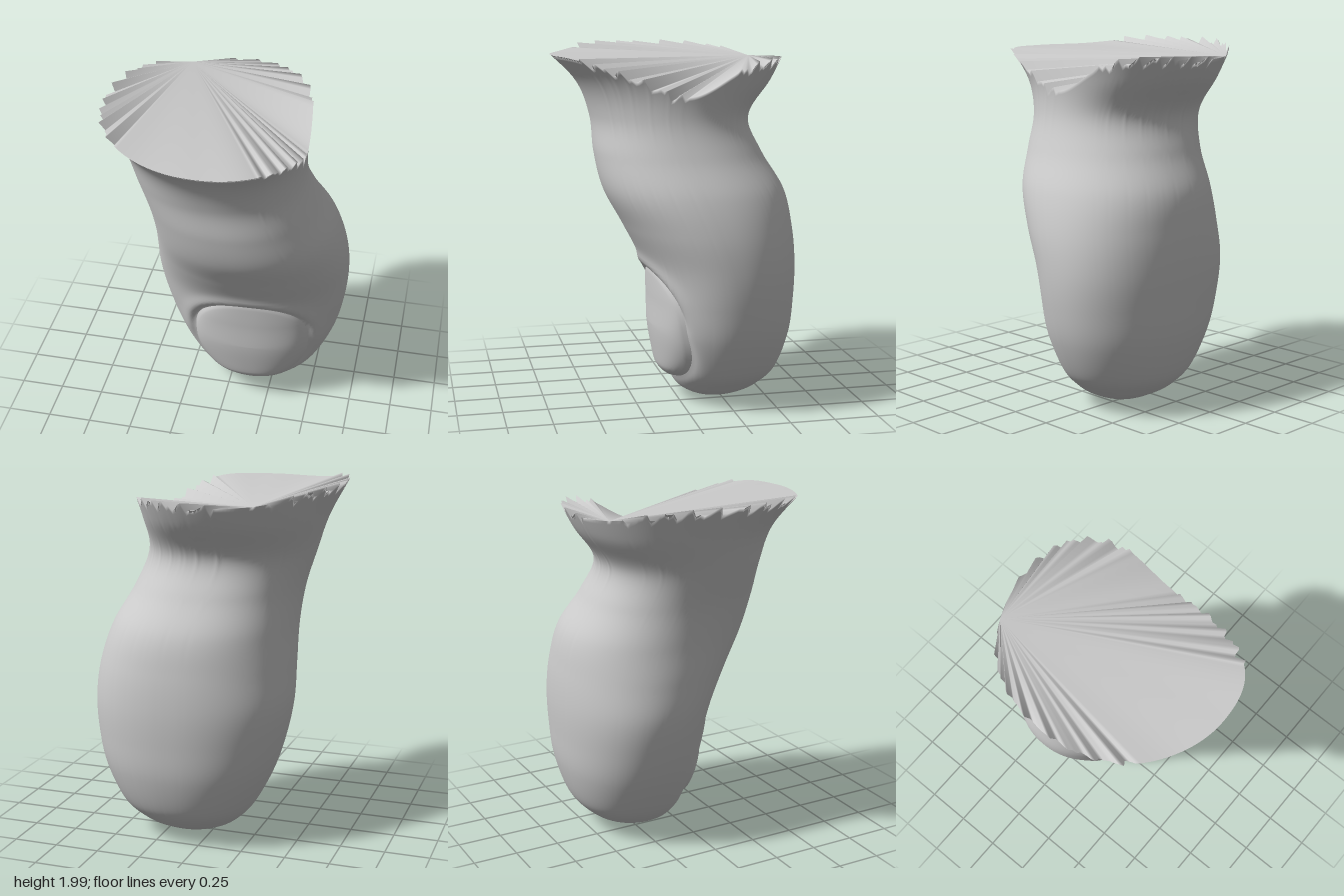
import * as THREE from 'three';

// Cross-sections from tip to rim: y, x min, x max, z back, z front
const KEYS = [
  [0, 0.13, 0.13, -0.22, -0.22], [0.012, 0.03, 0.235, -0.315, -0.125], [0.05, -0.08, 0.34, -0.41, -0.035],
  [0.1, -0.16, 0.42, -0.49, 0.015], [0.2, -0.25, 0.52, -0.575, 0.06], [0.4, -0.355, 0.612, -0.64, 0.11],
  [0.6, -0.42, 0.655, -0.662, 0.143], [0.8, -0.455, 0.67, -0.67, 0.19], [1.0, -0.447, 0.655, -0.655, 0.29],
  [1.2, -0.435, 0.6, -0.615, 0.395], [1.4, -0.45, 0.5, -0.505, 0.437], [1.6, -0.505, 0.43, -0.44, 0.45],
  [1.8, -0.575, 0.435, -0.57, 0.53], [2.0, -0.67, 0.5, -0.665, 0.73], [2.2, -0.76, 0.57, -0.74, 0.92],
];
// Rim height every 30 degrees, from +x round through +z
const RIM = [1.73, 1.83, 1.925, 1.94, 1.945, 1.97, 1.975, 1.96, 1.91, 1.9, 1.91, 1.87];
const COLS = 180, ROWS = 120, POWER = 2.15;
const APEX = 120; // rim column from which the end is closed
const NAIL = { x: 0.145, y: 0.44, a: 0.34, b: 0.305, power: 2.45 };

const spline = (a, b, c, d, t) =>
  0.5 * (2 * b + (c - a) * t + (2 * a - 5 * b + 4 * c - d) * t * t + (3 * b - a - 3 * c + d) * t * t * t);
const signedPow = (v, p) => Math.sign(v) * Math.abs(v) ** p;
const bump = (v, width) => Math.exp(-((v / width) ** 2));
const angle = (j) => (j / COLS) * Math.PI * 2;

function section(k) {
  const i = Math.min(Math.floor(k), KEYS.length - 2);
  const key = (n) => KEYS[Math.max(0, Math.min(n, KEYS.length - 1))];
  const [y, x0, x1, z0, z1] = KEYS[0].map((_, c) =>
    spline(key(i - 1)[c], key(i)[c], key(i + 1)[c], key(i + 2)[c], k - i));
  return { y, cx: (x0 + x1) / 2, cz: (z0 + z1) / 2, rx: (x1 - x0) / 2, rz: (z1 - z0) / 2 };
}
const keyAtHeight = (y) => (y < 0.2 ? 3 + (y - 0.1) / 0.1 : 4 + (y - 0.2) / 0.2);

// Rim: smooth at the front, torn into teeth along both sides and the back
function rimHeight(j) {
  const f = (j / COLS) * 12, i = Math.floor(f);
  const at = (n) => RIM[(n + 12) % 12];
  const torn = j < 29 || (j > 69 && j < 116) || (j > 130 && j < 168);
  const tooth = torn ? 0.022 * Math.sin(Math.floor(j / 2) * 2.3) - 0.012 * (j % 2) : 0;
  return spline(at(i - 1), at(i), at(i + 1), at(i + 2), f - i) + tooth;
}

// Shallow bed under the nail and the soft fold of skin above it
function nailBed(x, y) {
  const dx = (x - NAIL.x) / NAIL.a, dy = (y - NAIL.y) / NAIL.b;
  const d = (Math.abs(dx) ** NAIL.power + Math.abs(dy) ** NAIL.power) ** (1 / NAIL.power);
  const top = Math.max(0, dy) / Math.max(d, 0.01), low = Math.max(0, -dy) / Math.max(d, 0.01);
  const bed = -(0.012 + 0.022 * top) * (d < 1 ? 1 : bump(d - 1, 0.08));
  return bed * (1 - 0.7 * low) + 0.012 * (1 - low) * bump(d - 1.15, 0.14);
}

function skinPoint(k, theta) {
  const s = section(k), c = Math.cos(theta), n = Math.sin(theta);
  const flare = THREE.MathUtils.smoothstep(s.y, 1.5, 1.95);
  const x = s.cx + s.rx * signedPow(c, 2 / POWER) + 0.055 * n * n * flare;
  let z = s.cz + s.rz * signedPow(n, 2 / POWER);
  if (n > 0) z += nailBed(x, s.y) * Math.min(1, n * 2);
  return [x, Math.max(0, s.y), z];
}

// Grid of rows with columns wrapping round; closeFrom fans the last row shut from one column
function loft(rows, cols, point, closeFrom) {
  const positions = [], index = [];
  for (let i = 0; i <= rows; i++) for (let j = 0; j < cols; j++) positions.push(...point(i / rows, j));
  for (let i = 0; i < rows; i++) for (let j = 0; j < cols; j++) {
    const a = i * cols + j, b = i * cols + ((j + 1) % cols);
    index.push(a, a + cols, b, b, a + cols, b + cols);
  }
  if (closeFrom !== undefined) {
    const rim = rows * cols;
    for (let n = 1; n < cols - 1; n++) {
      index.push(rim + closeFrom, rim + ((closeFrom + n + 1) % cols), rim + ((closeFrom + n) % cols));
    }
  }
  const g = new THREE.BufferGeometry();
  g.setAttribute('position', new THREE.Float32BufferAttribute(positions, 3));
  g.setIndex(index);
  g.computeVertexNormals();
  return g;
}

// Nail plate: flush under the fold, standing proud at its lower edge
function nailPoint(t, j) {
  const r = 1 - t, phi = (j / 72) * Math.PI * 2;
  const dx = r * signedPow(Math.cos(phi), 2 / NAIL.power);
  const dy = -r * signedPow(Math.sin(phi), 2 / NAIL.power);
  const x = NAIL.x + NAIL.a * dx, y = NAIL.y + NAIL.b * dy;
  const s = section(keyAtHeight(y));
  const side = Math.min(1, Math.abs((x - s.cx) / s.rx));
  const z = s.cz + s.rz * (1 - side ** POWER) ** (1 / POWER);
  const tilt = dy > 0 ? -0.048 * dy : -0.03 * dy;
  const edge = Math.sqrt(Math.max(0, 1 - r ** 10));
  return [x, y, z - 0.02 + (0.055 + tilt) * edge];
}

export function createModel() {
  const group = new THREE.Group();
  const material = new THREE.MeshStandardMaterial({ color: 0xcccccc, side: THREE.DoubleSide });
  const add = (name, geometry) => {
    const mesh = new THREE.Mesh(geometry, material);
    mesh.name = name;
    group.add(mesh);
  };

  // Skin closed at the tip, its torn end pleated shut from one point of the rim
  const rimKeys = Array.from({ length: COLS }, (_, j) => keyAtHeight(rimHeight(j)));
  add('skin', loft(ROWS, COLS, (t, j) => skinPoint(t * rimKeys[j], angle(j)), APEX));
  add('nail', loft(28, 72, nailPoint));
  return group;
}
